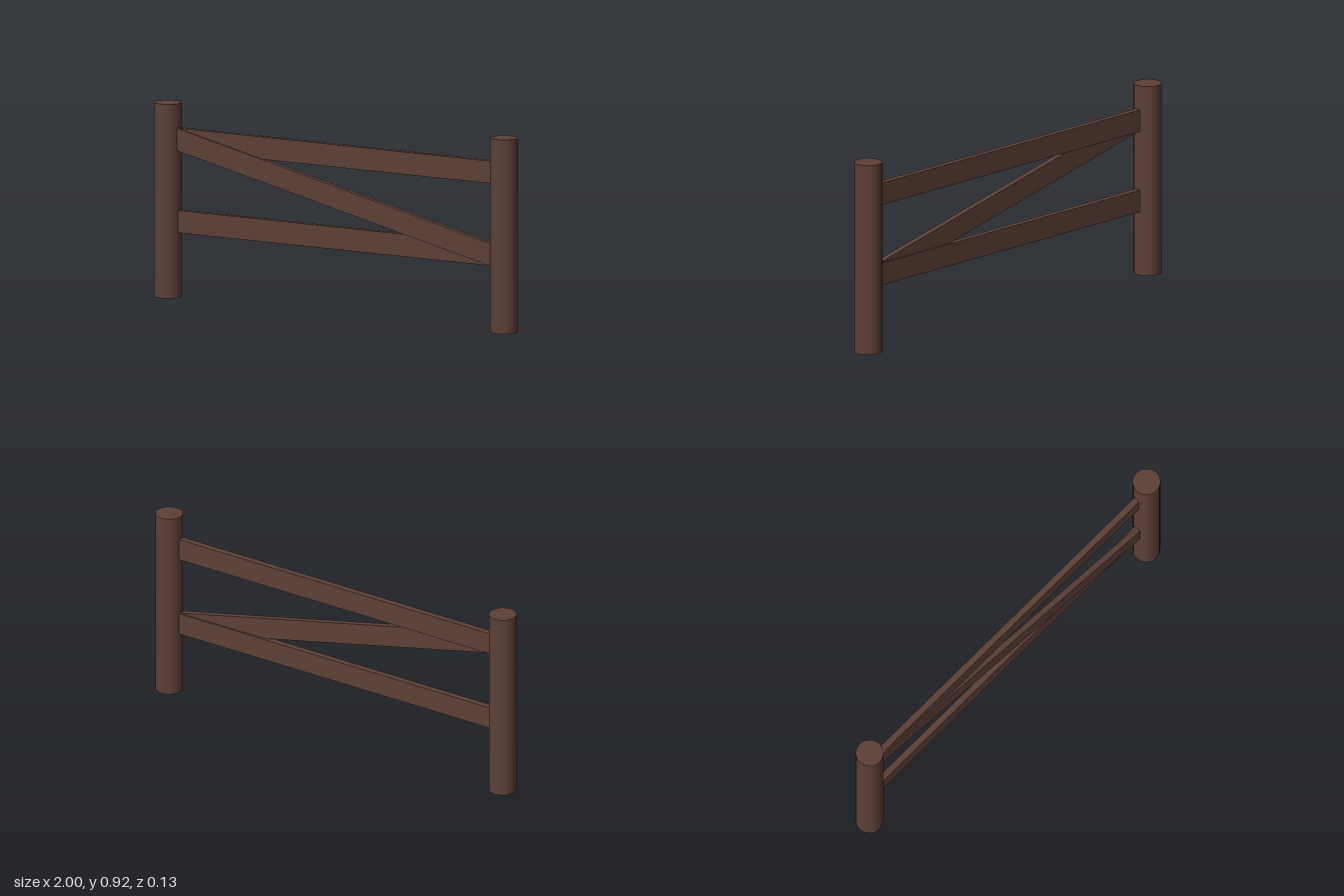
import * as THREE from 'three';

export function createModel() {
  const model = new THREE.Group();
  model.name = 'fencePanel';
  const wood = new THREE.MeshStandardMaterial({ color: 0x5d4037 });
  wood.name = 'dark brown wood';

  const postRadius = 0.065, postHeight = 0.92;
  const inner = 1 - 2 * postRadius; // inner faces of the posts
  const boardHeight = 0.106;

  const add = (name, geometry) => {
    const mesh = new THREE.Mesh(geometry, wood);
    mesh.name = name;
    model.add(mesh);
    return mesh;
  };

  // Round posts at both ends
  for (const [name, side] of [['rightPost', -1], ['leftPost', 1]]) {
    const post = add(name, new THREE.CylinderGeometry(postRadius, postRadius, postHeight, 32));
    post.position.set(side * (1 - postRadius), postHeight / 2, 0);
  }

  // Board with vertical ends, running from height y0 at -x to y1 at +x (lower edge)
  const board = (name, y0, y1, back, front) => {
    const shape = new THREE.Shape([
      new THREE.Vector2(-inner, y0),
      new THREE.Vector2(inner, y1),
      new THREE.Vector2(inner, y1 + boardHeight),
      new THREE.Vector2(-inner, y0 + boardHeight),
    ]);
    const geometry = new THREE.ExtrudeGeometry(shape, { depth: front - back, bevelEnabled: false });
    add(name, geometry.translate(0, 0, back));
  };

  // Two level rails, and the diagonal brace standing slightly proud in front
  const low = 0.309, high = 0.699;
  board('lowerRail', low, low, -0.015, 0.015);
  board('upperRail', high, high, -0.015, 0.015);
  board('diagonalBrace', high, low, -0.006, 0.022);

  return model;
}
